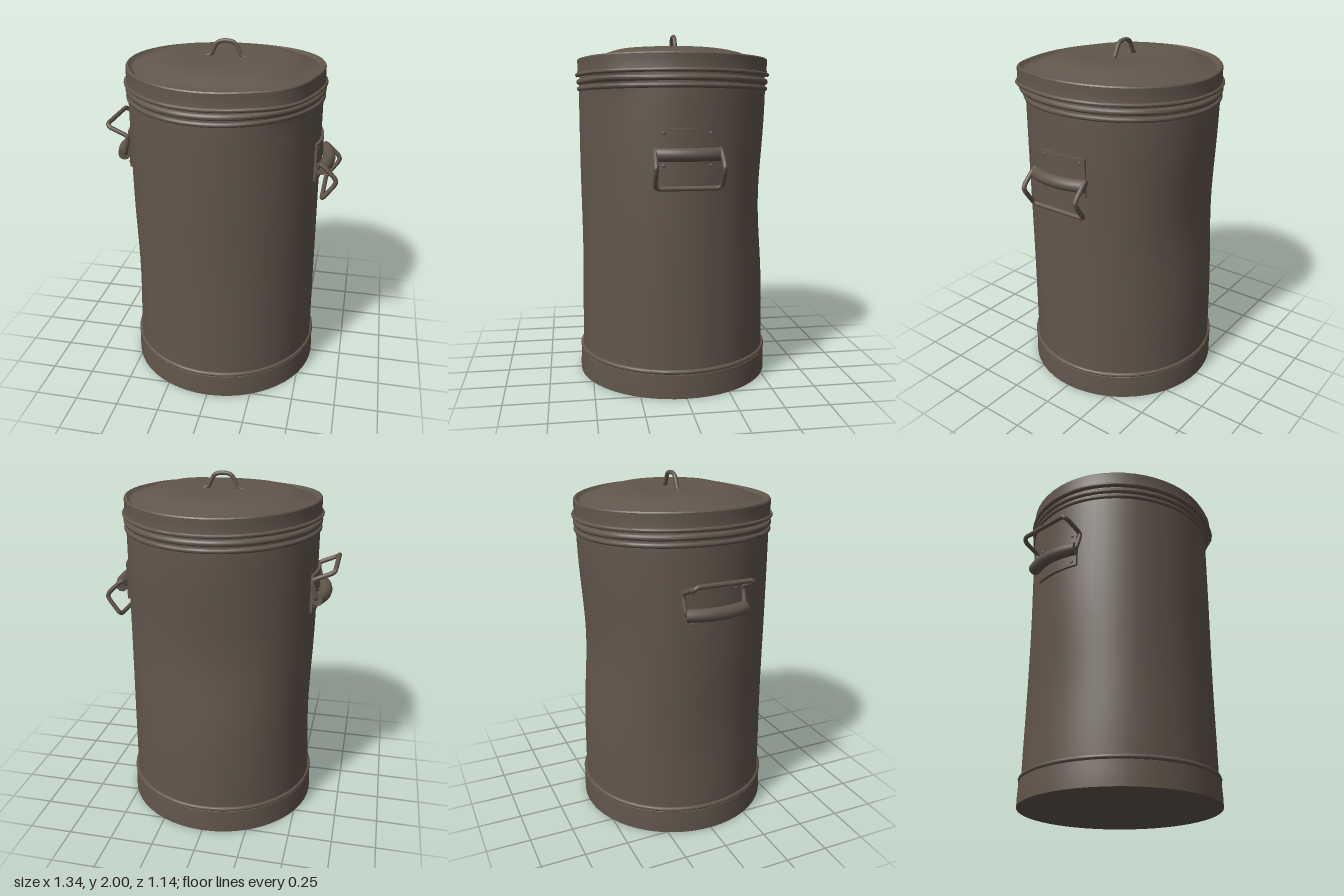
import * as THREE from 'three';
import { toCreasedNormals } from 'three/addons/utils/BufferGeometryUtils.js';

const metal = new THREE.MeshStandardMaterial({ color: 0x62564b });
metal.name = 'dull brown metal';

const bell = (d, width) => Math.exp(-(d * d) / (width * width));
const angleGap = (a, b) => Math.atan2(Math.sin(a - b), Math.cos(a - b));

// Dents and bulges of the worn sheet metal
function dent(geometry) {
  const p = geometry.attributes.position;
  for (let i = 0; i < p.count; i++) {
    const x = p.getX(i), y = p.getY(i), z = p.getZ(i);
    const r = Math.hypot(x, z), a = Math.atan2(x, z);
    const out = Math.min(1, r / 0.5);
    const top = THREE.MathUtils.smoothstep(y, 1.68, 1.78);
    let dr = -0.04 * bell(angleGap(a, Math.PI), 0.7) * bell(y - 1.05, 0.38);
    dr -= 0.018 * bell(angleGap(a, -Math.PI / 2), 0.6) * bell(y - 0.6, 0.35);
    dr -= 0.008 * bell(angleGap(a, 0), 0.7) * bell(y - 0.75, 0.4);
    dr += top * (0.035 * bell(angleGap(a, 0.77), 0.3) - 0.006);
    const k = r > 0 ? (r + dr * out) / r : 1;
    const wave = THREE.MathUtils.smoothstep(y, 1.6, 1.7) * 0.008 * Math.sin(2 * a - 1.4) * out;
    // Uneven hollow towards the front right of the lid
    const hollow = y > 1.8 ? 0.012 * bell(r - 0.46, 0.06) * bell(angleGap(a, 0.6), 0.9) : 0;
    p.setXYZ(i, x * k, y + wave - hollow, z * k);
  }
  return toCreasedNormals(geometry, 0.6);
}

function add(parent, name, geometry) {
  const mesh = new THREE.Mesh(geometry, metal);
  mesh.name = name;
  parent.add(mesh);
  return mesh;
}

function turned(parent, name, points) {
  const profile = points.map(([r, y]) => new THREE.Vector2(r, y));
  return add(parent, name, dent(new THREE.LatheGeometry(profile, 56)));
}

function bead(parent, name, radius, y, size) {
  const points = [];
  for (let i = 0; i <= 8; i++) {
    const t = -Math.PI / 2 + (i / 8) * Math.PI;
    points.push([radius + size * Math.cos(t), y + size * Math.sin(t)]);
  }
  return turned(parent, name, points);
}

// Round rod with closed ends
function rod(parent, name, points, radius, tension = 0.5, segments = 64) {
  const curve = new THREE.CatmullRomCurve3(points.map(p => new THREE.Vector3(...p)), false, 'catmullrom', tension);
  add(parent, name, new THREE.TubeGeometry(curve, segments, radius, 12));
  for (const t of [0, 1]) {
    const cap = add(parent, name + 'End', new THREE.CircleGeometry(radius, 12));
    const at = curve.getPoint(t);
    cap.position.copy(at);
    cap.lookAt(at.clone().addScaledVector(curve.getTangent(t), t ? 1 : -1));
  }
}

// Plate, grip and swinging bail on one side; bail is half of a mirrored path
function sideHandle(side, bailHalf) {
  const group = new THREE.Group();
  group.name = side > 0 ? 'leftHandle' : 'rightHandle';

  const half = 0.275, mid = side > 0 ? 0 : Math.PI;
  const sector = new THREE.Shape();
  sector.absarc(0, 0, 0.562, mid - half, mid + half, false);
  sector.absarc(0, 0, 0.53, mid + half, mid - half, true);
  const plate = new THREE.ExtrudeGeometry(sector, { depth: 0.22, bevelEnabled: false, curveSegments: 12 });
  plate.rotateX(-Math.PI / 2).translate(0, 1.26, 0);
  add(group, 'plate', toCreasedNormals(plate, 0.6));

  const grip = [];
  for (let i = -4; i <= 4; i++) {
    const z = i * 0.0425;
    grip.push([side * (0.6 - 0.035 * (i / 4) ** 2), 1.345, z]);
  }
  rod(group, 'grip', grip, 0.036, 0.5, 16);

  const far = bailHalf.slice().reverse().map(([x, y, z]) => [x, y, -z]);
  rod(group, 'bail', [...bailHalf, ...far], 0.013, 0.12, 120);

  for (const y of [1.285, 1.455]) for (const z of [-0.125, 0.125]) {
    const rivet = add(group, 'rivet', new THREE.SphereGeometry(0.01, 10, 8));
    rivet.position.set(side * Math.sqrt(0.562 ** 2 - z * z), y, z);
    rivet.scale.x = 0.5;
  }
  return group;
}

export function createModel() {
  const model = new THREE.Group();
  model.name = 'dustbin';

  // Foot band with floor
  turned(model, 'footBand', [[0, 0], [0.564, 0], [0.564, 0.045], [0.562, 0.09], [0.56, 0.135], [0.548, 0.14]]);
  bead(model, 'footBead', 0.552, 0.15, 0.013);

  // Drum wall
  const wall = [];
  for (let i = 0; i <= 28; i++) wall.push([0.548, 0.13 + i * 0.0585]);
  turned(model, 'drum', wall);
  bead(model, 'lowerNeckBead', 0.546, 1.695, 0.014);
  bead(model, 'upperNeckBead', 0.548, 1.735, 0.017);

  // Lid with rolled lip, skirt, raised rim and shallow dome
  bead(model, 'lidLip', 0.563, 1.773, 0.011);
  turned(model, 'lid', [
    [0.54, 1.763], [0.563, 1.766], [0.562, 1.785], [0.56, 1.8], [0.56, 1.83], [0.56, 1.858],
    [0.555, 1.865], [0.545, 1.866], [0.537, 1.858], [0.525, 1.852], [0.49, 1.862], [0.45, 1.878],
    [0.41, 1.895], [0.36, 1.906], [0.28, 1.91], [0.2, 1.908], [0.1, 1.902], [0, 1.9]
  ]);
  rod(model, 'lidHandle', [
    [-0.115, 1.895, -0.005], [-0.085, 1.912, -0.005], [-0.068, 1.945, -0.005], [-0.045, 1.978, -0.005], [0, 1.988, -0.005],
    [0.045, 1.978, -0.005], [0.068, 1.945, -0.005], [0.085, 1.912, -0.005], [0.115, 1.895, -0.005]
  ], 0.012);

  // One bail hangs down, the other is swung up
  model.add(sideHandle(1, [
    [0.55, 1.345, 0.16], [0.56, 1.375, 0.172], [0.585, 1.36, 0.175], [0.642, 1.305, 0.178], [0.655, 1.28, 0.178],
    [0.645, 1.255, 0.178], [0.595, 1.185, 0.177], [0.585, 1.172, 0.165], [0.582, 1.168, 0.145]
  ]));
  model.add(sideHandle(-1, [
    [-0.56, 1.345, 0.16], [-0.56, 1.36, 0.172], [-0.54, 1.43, 0.175], [-0.54, 1.455, 0.175], [-0.56, 1.468, 0.175],
    [-0.635, 1.5, 0.175], [-0.653, 1.51, 0.165], [-0.657, 1.52, 0.145]
  ]));
  return model;
}
